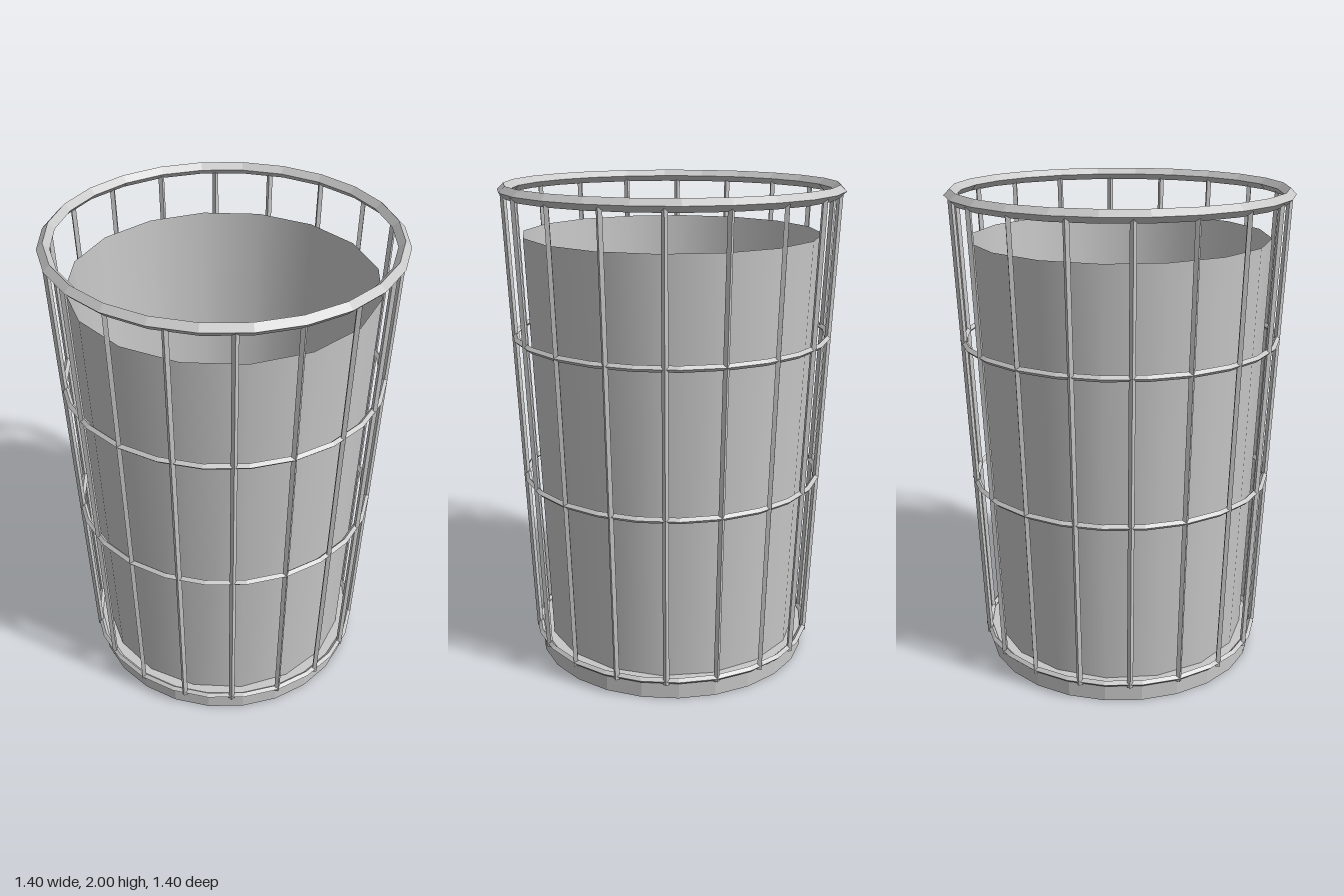
import * as THREE from 'three';

// Faceted normals for the low-poly wire parts
function faceted(geometry) {
  const flat = geometry.toNonIndexed();
  flat.computeVertexNormals();
  return flat;
}

export function createModel() {
  const group = new THREE.Group();
  const metal = new THREE.MeshStandardMaterial({ color: 0xc8c8c8, side: THREE.DoubleSide });
  metal.name = 'greyMetal';

  const add = (name, geometry) => {
    const mesh = new THREE.Mesh(geometry, metal);
    mesh.name = name;
    group.add(mesh);
    return mesh;
  };

  // Radius of the tapered cage at a given height
  const cageRadius = (y) => 0.587 + 0.0434 * y;

  // Solid foot
  add('base', faceted(new THREE.CylinderGeometry(0.58, 0.58, 0.08, 24))).position.y = 0.04;

  // Thin open liner, smooth all round
  add('liner', new THREE.CylinderGeometry(0.61, 0.54, 1.72, 16, 1, true)).position.y = 0.94;

  // Horizontal hoops and the thicker rim, all with a diamond section
  const hoop = (name, y, tube) => {
    const geometry = new THREE.TorusGeometry(cageRadius(y), tube, 4, 24);
    geometry.rotateX(Math.PI / 2);
    add(name, faceted(geometry)).position.y = y;
  };
  hoop('lowerHoop', 0.085, 0.013);
  hoop('middleHoop', 0.79, 0.013);
  hoop('upperHoop', 1.39, 0.013);
  hoop('rim', 1.975, 0.025);

  // Upright wires leaning outward
  const y0 = 0.07, y1 = 1.975, count = 18;
  const r0 = cageRadius(y0), r1 = cageRadius(y1);
  const wire = new THREE.CylinderGeometry(0.0125, 0.0125, Math.hypot(y1 - y0, r1 - r0), 4);
  wire.rotateZ(-Math.atan2(r1 - r0, y1 - y0));
  wire.translate((r0 + r1) / 2, (y0 + y1) / 2, 0);
  const wireGeometry = faceted(wire);
  for (let i = 0; i < count; i++) {
    add('uprightWire', wireGeometry).rotation.y = (i / count) * Math.PI * 2;
  }

  return group;
}
